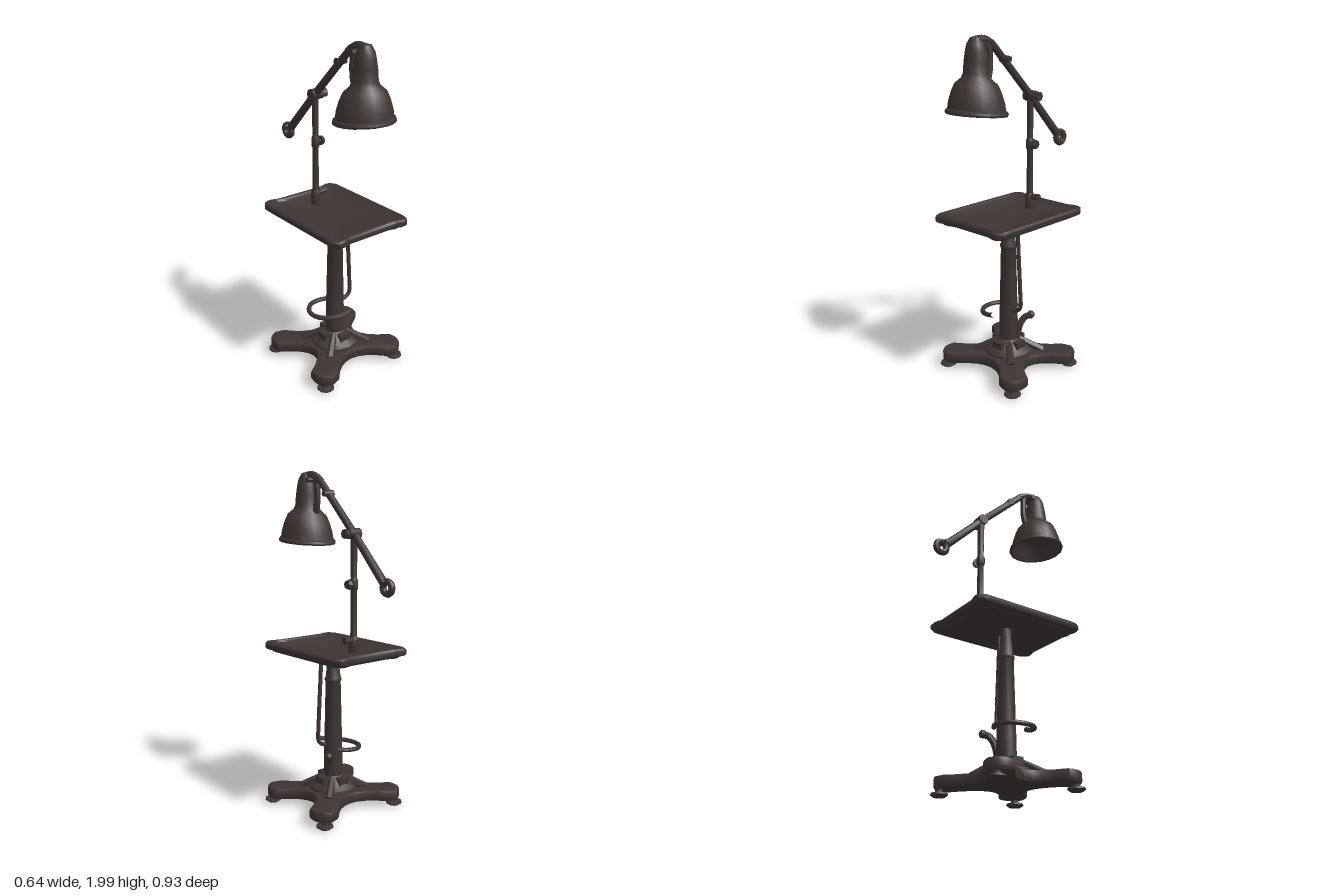
import * as THREE from 'three';
import { toCreasedNormals } from 'three/addons/utils/BufferGeometryUtils.js';

const V = (x, y, z) => new THREE.Vector3(x, y, z);

export function createModel() {
  const model = new THREE.Group();
  const iron = new THREE.MeshStandardMaterial({ color: 0x3d3534 });
  iron.name = 'darkIron';
  const ironSheet = new THREE.MeshStandardMaterial({ color: 0x3d3534, side: THREE.DoubleSide });
  ironSheet.name = 'darkIronSheet';

  const add = (name, geo, x = 0, y = 0, z = 0, mat = iron) => {
    const mesh = new THREE.Mesh(toCreasedNormals(geo, 0.7), mat);
    mesh.name = name;
    mesh.position.set(x, y, z);
    model.add(mesh);
    return mesh;
  };
  // Tapered rod between two points
  const rod = (name, a, b, ra, rb = ra, sides = 10) => {
    const d = b.clone().sub(a);
    const mesh = add(name, new THREE.CylinderGeometry(rb, ra, d.length(), sides));
    mesh.position.copy(a).addScaledVector(d, 0.5);
    mesh.quaternion.setFromUnitVectors(V(0, 1, 0), d.normalize());
    return mesh;
  };
  const lathe = (name, pts, sides, x, z) =>
    add(name, new THREE.LatheGeometry(pts.map(p => new THREE.Vector2(...p)), sides), x, 0, z);
  const tube = (name, pts, r, seg = 24) =>
    add(name, new THREE.TubeGeometry(new THREE.CatmullRomCurve3(pts), seg, r, 8));

  const ZC = 0.05; // depth of the column axis

  // Star-shaped base with four rounded arms
  const star = new THREE.Shape();
  star.moveTo(0.3, -0.18);
  star.quadraticCurveTo(0.0, 0, 0.3, 0.18);
  star.quadraticCurveTo(0.32, 0.26, 0.25, 0.285);
  star.lineTo(0.2, 0.27);
  star.quadraticCurveTo(0, 0.03, -0.2, 0.27);
  star.lineTo(-0.25, 0.285);
  star.quadraticCurveTo(-0.32, 0.26, -0.3, 0.18);
  star.quadraticCurveTo(0.0, 0, -0.3, -0.18);
  star.quadraticCurveTo(-0.32, -0.26, -0.25, -0.285);
  star.lineTo(-0.2, -0.27);
  star.quadraticCurveTo(0, -0.03, 0.2, -0.27);
  star.lineTo(0.25, -0.285);
  star.quadraticCurveTo(0.32, -0.26, 0.3, -0.18);
  const starGeo = new THREE.ExtrudeGeometry(star, {
    depth: 0.04, bevelThickness: 0.014, bevelSize: 0.015, bevelSegments: 2, curveSegments: 8,
  });
  starGeo.rotateX(-Math.PI / 2);
  add('base', starGeo, 0, 0.058, ZC);

  // Foot pads and the ribs above each arm
  for (const sx of [-1, 1]) for (const sz of [-1, 1]) {
    lathe('footPad', [[0, 0.004], [0.035, 0.004], [0.05, 0.015], [0.047, 0.025], [0.022, 0.032], [0.022, 0.05]],
      10, sx * 0.27, ZC + sz * 0.255);
    rod('baseRib', V(sx * 0.15, 0.105, ZC + sz * 0.14), V(sx * 0.045, 0.18, ZC + sz * 0.045), 0.025, 0.02, 6);
  }
  // Pedestal and its side bosses
  lathe('pedestal', [[0.15, 0.1], [0.145, 0.125], [0.115, 0.145], [0.08, 0.18], [0.062, 0.195], [0, 0.195]], 12, 0, ZC);
  for (let i = 0; i < 4; i++) {
    const a = i * Math.PI / 2;
    add('pedestalBoss', new THREE.BoxGeometry(0.07, 0.07, 0.04),
      Math.sin(a) * 0.085, 0.155, ZC + Math.cos(a) * 0.085).rotation.y = a;
  }

  // Column with collar
  lathe('column', [[0.058, 0.18], [0.056, 0.3], [0.045, 0.77], [0.05, 0.778], [0.05, 0.79], [0.044, 0.8],
    [0.034, 0.9], [0.032, 0.965]], 14, 0, ZC);

  // Height rod beside the column, with its bracket
  tube('heightRod', [V(0.08, 0.95, 0.06), V(0.088, 0.8, 0.06), V(0.105, 0.5, 0.06), V(0.107, 0.425, 0.06),
    V(0.09, 0.4, 0.06), V(0.03, 0.375, 0.06)], 0.012, 30);
  tube('pedalBracket', [V(0.05, 0.2, 0.03), V(0.062, 0.29, 0.01), V(0.08, 0.33, -0.015), V(0.12, 0.345, -0.035)], 0.02, 12);
  add('bracketKnob', new THREE.SphereGeometry(0.024, 8, 6), 0.105, 0.345, -0.035);

  // Curved foot lever sweeping round the column
  tube('footLever', [V(0.02, 0.365, -0.02), V(-0.03, 0.36, -0.05), V(-0.11, 0.355, -0.05), V(-0.165, 0.352, 0.01),
    V(-0.165, 0.353, 0.09), V(-0.11, 0.36, 0.16), V(-0.04, 0.37, 0.185), V(0.005, 0.385, 0.19)], 0.014, 36);

  // Table top: loops of a rounded outline, rim and dished centre
  const corner = [[0.27, 0.29], [0.268, 0.325], [0.245, 0.357], [0.215, 0.36], [0.17, 0.345]];
  const flipped = [...corner].reverse();
  const outline = [];
  for (const [sx, sz, pts] of [[1, 1, corner], [-1, 1, flipped], [-1, -1, corner], [1, -1, flipped]])
    for (const [x, z] of pts) outline.push([sx * x, sz * z]);
  // scale factor, inset and height for each loop
  const loops = [[0, 0, 0.96], [0.15, 0, 0.96], [1, 0.055, 0.937], [1, 0.035, 0.937], [1, 0.025, 0.95], [1, 0.006, 0.953],
    [1, 0, 0.963], [1, 0, 0.984], [1, 0.01, 0.995], [1, 0.03, 0.995], [1, 0.045, 0.982], [0.15, 0, 0.968], [0, 0, 0.968]];
  const pos = [], idx = [], n = outline.length;
  loops.forEach(([s, inset, y], k) => outline.forEach(([x, z], i) => {
    pos.push(s * (x - Math.sign(x) * inset), y, s * (z - Math.sign(z) * inset));
    if (k === loops.length - 1) return;
    const a = k * n + i, b = k * n + (i + 1) % n;
    idx.push(a, a + n, b, b, a + n, b + n);
  }));
  const tableGeo = new THREE.BufferGeometry();
  tableGeo.setAttribute('position', new THREE.Float32BufferAttribute(pos, 3));
  tableGeo.setIndex(idx);
  add('tableTop', tableGeo, 0, 0, 0.04);

  // Lamp post with foot, clamp and thumb knobs
  const ZP = -0.135;
  lathe('lampPost', [[0.028, 0.962], [0.03, 1.02], [0.03, 1.05], [0.02, 1.07], [0.018, 1.33], [0.025, 1.34],
    [0.025, 1.385], [0.018, 1.4], [0.02, 1.6], [0.024, 1.66]], 10, 0, ZP);
  rod('footKnob', V(0, 1.045, ZP), V(0.07, 1.05, ZP), 0.016, 0.022, 8);
  rod('clampScrew', V(0, 1.365, ZP), V(0.04, 1.365, ZP), 0.01, 0.01, 6);
  rod('clampKnob', V(0.032, 1.365, ZP), V(0.052, 1.365, ZP), 0.03, 0.024, 8);
  rod('armPivot', V(-0.033, 1.645, ZP), V(0.045, 1.645, ZP), 0.032, 0.03);
  rod('pivotKnob', V(0.04, 1.645, ZP), V(0.072, 1.645, ZP), 0.022, 0.027, 8);

  // Swinging arm with ring at its tail
  rod('arm', V(0, 1.395, -0.375), V(0, 1.645, ZP), 0.024, 0.021);
  rod('arm', V(0, 1.645, ZP), V(0, 1.955, 0.18), 0.022, 0.02);
  const ring = add('counterRing', new THREE.TorusGeometry(0.034, 0.019, 8, 16), 0, 1.367, -0.408);
  ring.rotation.y = Math.PI / 2;
  rod('ringPin', V(-0.036, 1.4, -0.395), V(0.036, 1.4, -0.395), 0.01, 0.01, 6);
  rod('armClip', V(-0.022, 1.865, 0.08), V(0.045, 1.865, 0.08), 0.022, 0.016, 8);
  // Curved yoke from arm to shade cap, with the rear handle
  tube('shadeYoke', [V(0, 1.93, 0.155), V(0, 1.966, 0.21), V(0, 1.974, 0.25), V(0, 1.97, 0.305)], 0.023, 12);
  tube('rearHandle', [V(0, 1.95, 0.2), V(0, 1.9, 0.194), V(0, 1.81, 0.196), V(0, 1.74, 0.215)], 0.019, 12);
  rod('yokeKnob', V(-0.055, 1.945, 0.24), V(0.04, 1.945, 0.24), 0.017, 0.015, 8);

  // Bell shade, open below, leaning slightly
  const shade = [[0, 1.74], [0.06, 1.74], [0.1, 1.715], [0.125, 1.68], [0.145, 1.62], [0.157, 1.585], [0.168, 1.583],
    [0.172, 1.592], [0.168, 1.605], [0.158, 1.61], [0.152, 1.65], [0.137, 1.7], [0.117, 1.745], [0.082, 1.775],
    [0.071, 1.8], [0.066, 1.86], [0.058, 1.915], [0.05, 1.95], [0.03, 1.985], [0, 1.993]];
  const shadeGeo = new THREE.LatheGeometry(shade.map(p => new THREE.Vector2(...p)), 18);
  shadeGeo.applyMatrix4(new THREE.Matrix4().set(1, 0, 0, 0, 0, 1, 0.09, 0, 0, 0, 1, 0, 0, 0, 0, 1));
  add('lampShade', shadeGeo, 0, 0, 0.292, ironSheet);
  // Bulb holder inside the shade
  rod('bulbHolder', V(0, 1.745, 0.292), V(0, 1.69, 0.292), 0.035, 0.03);

  return model;
}
